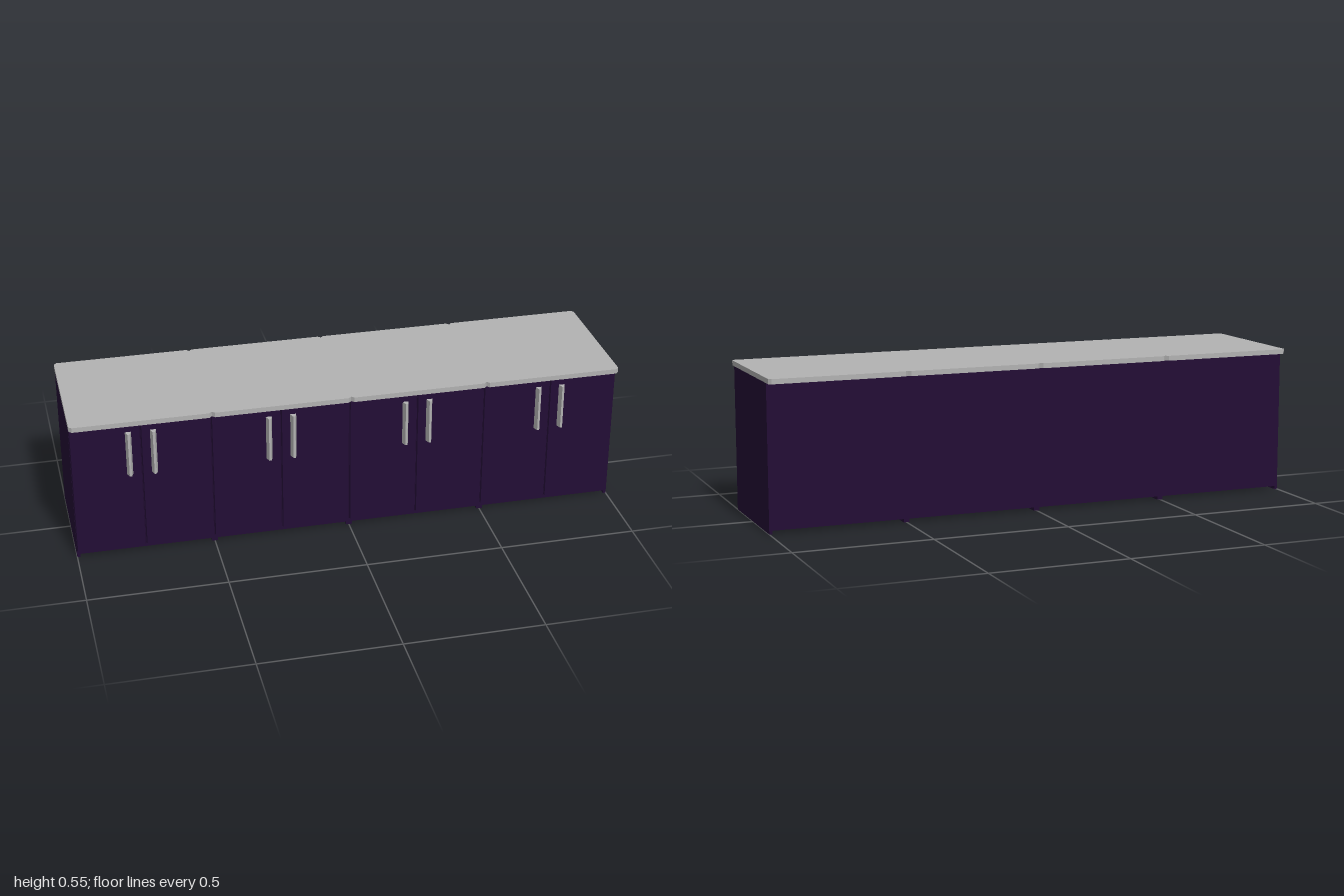
import * as THREE from 'three';

const purple = new THREE.MeshStandardMaterial({ color: 0x230d35 });
purple.name = 'dark purple';
const grey = new THREE.MeshStandardMaterial({ color: 0xb2b2b2 });
grey.name = 'light grey';

// Upright prism: outline given as [x, z] points, running from y0 up to y1.
function prism(name, points, y0, y1, material) {
  const shape = new THREE.Shape(points.map(([x, z]) => new THREE.Vector2(x, z)));
  const geometry = new THREE.ExtrudeGeometry(shape, { depth: y1 - y0, bevelEnabled: false });
  geometry.rotateX(Math.PI / 2).translate(0, y1, 0);
  const mesh = new THREE.Mesh(geometry, material);
  mesh.name = name;
  return mesh;
}

// Outline that narrows towards the front, used for doors and handles.
const taper = (backHalf, frontHalf, z0, z1) =>
  [[-backHalf, z0], [backHalf, z0], [frontHalf, z1], [-frontHalf, z1]];

function box(name, w, h, d, x, y, z) {
  const mesh = new THREE.Mesh(new THREE.BoxGeometry(w, h, d), purple);
  mesh.name = name;
  mesh.position.set(x, y, z);
  return mesh;
}

function createCabinet() {
  const cabinet = new THREE.Group();
  cabinet.name = 'cabinet';

  // Carcass raised slightly between two side panels that reach the floor
  cabinet.add(box('carcass', 0.478, 0.515, 0.434, 0, 0.2695, 0));

  for (const side of [-1, 1]) {
    cabinet.add(box('sidePanel', 0.011, 0.527, 0.434, side * 0.2445, 0.2635, 0));

    // Door with narrow bevelled edges
    const door = prism('door', taper(0.1245, 0.1215, 0.217, 0.224), 0.027, 0.527, purple);
    door.position.x = side * 0.125;
    cabinet.add(door);

    // Vertical handle near the middle of the cabinet
    const handle = prism('handle', taper(0.011, 0.004, 0.224, 0.244), 0.322, 0.49, grey);
    handle.position.x = side * 0.044;
    cabinet.add(handle);
  }

  // Worktop slab with cut corners
  const c = 0.01, w = 0.25, d = 0.254;
  cabinet.add(prism('worktop', [
    [-w + c, -d], [w - c, -d], [w, -d + c], [w, d - c],
    [w - c, d], [-w + c, d], [-w, d - c], [-w, -d + c],
  ], 0.527, 0.545, grey));
  return cabinet;
}

export function createModel() {
  const model = new THREE.Group();
  model.name = 'cabinetRow';
  // Four identical cabinets side by side
  for (let i = 0; i < 4; i++) {
    const cabinet = createCabinet();
    cabinet.position.x = -0.75 + i * 0.5;
    model.add(cabinet);
  }
  return model;
}
